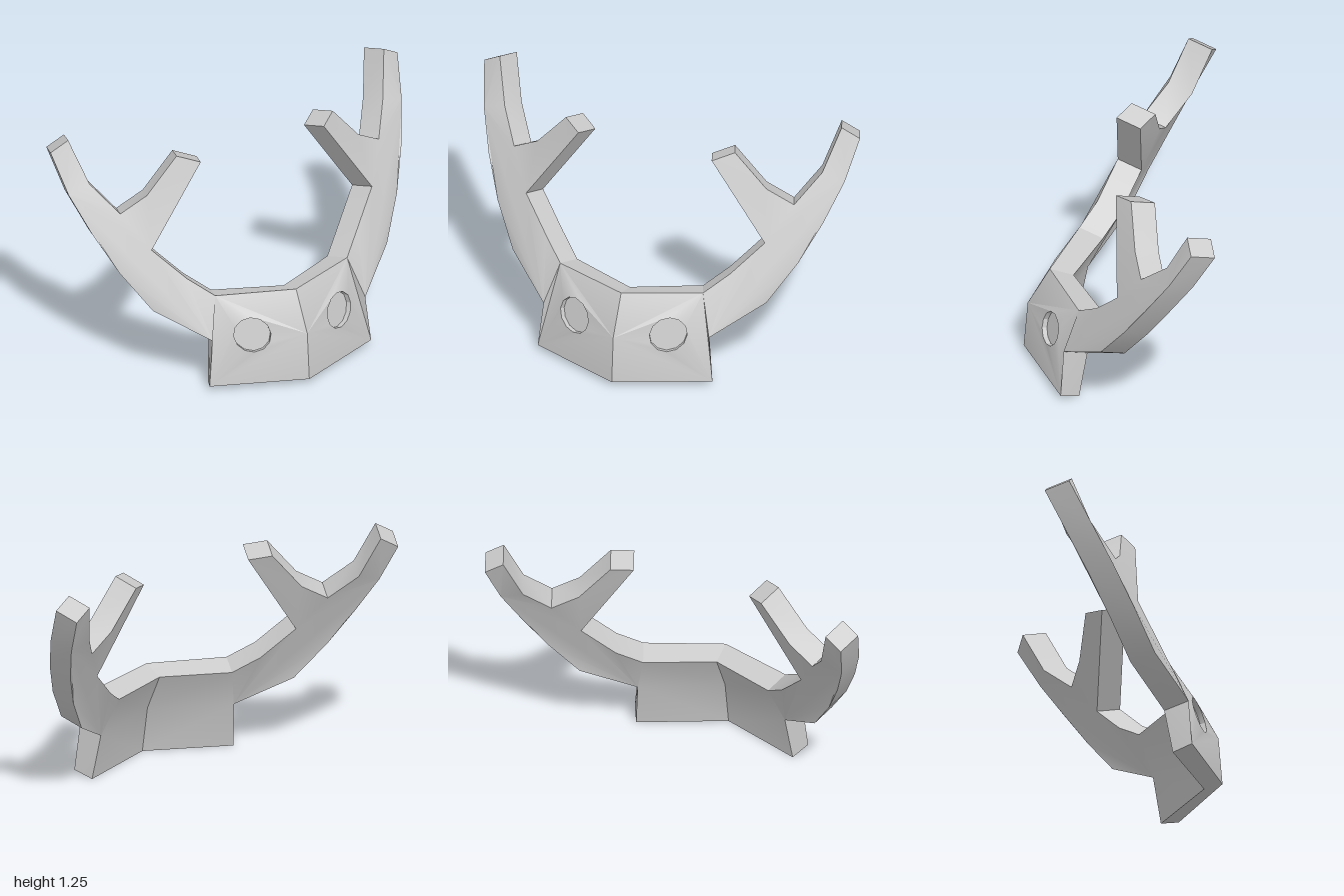
import * as THREE from 'three';
import { toCreasedNormals } from 'three/addons/utils/BufferGeometryUtils.js';

// Front outline of the left half, counter-clockwise from the bottom centre
const FRONT = [
  [0, 0.03, 0.475], [0.465, 0.03, 0.29], [0.44, 0.275, 0.275],
  // outer edge of the antler
  [0.675, 0.425, 0.09], [0.80, 0.62, -0.025], [0.89, 0.81, -0.135], [0.96, 1.0, -0.25], [1.0, 1.2, -0.36],
  // main tip, crotch, inner tine
  [0.91, 1.255, -0.34], [0.845, 1.035, -0.24], [0.745, 0.9, -0.11], [0.61, 0.98, -0.08],
  [0.45, 1.17, -0.06], [0.355, 1.145, 0.015], [0.635, 0.72, 0.01],
  // inner edge down to the brow
  [0.49, 0.565, 0.11], [0.38, 0.48, 0.2], [0, 0.48, 0.345], [0, 0.28, 0.455],
];
const BACK = FRONT.map(([x, y, z]) => [
  x ? x - 0.045 : 0, y - (y < 0.1 ? 0.03 : 0.036), z - (y < 0.1 ? 0.092 : 0.118),
]);
const NOTCH = 2, BROW = 16, TOP = 17, MID = 18;
const ARM = Array.from({ length: BROW - NOTCH + 1 }, (_, i) => NOTCH + i);

// Round eye recess: rim on the brow, floor pushed in
const RIM = Array.from({ length: 12 }, (_, i) => {
  const a = (i / 12) * Math.PI * 2;
  const dx = 0.087 * Math.cos(a), dy = 0.087 * Math.sin(a);
  return [0.25 + dx, 0.288 + dy, 0.342 - 0.4 * dx - 0.25 * dy];
});
const FLOOR = RIM.map(([x, y, z]) => [x - 0.01, y - 0.006, z - 0.024]);

// Triangulate a face in x/y, keeping the depth of each point
function face(out, contour, hole = [], flip = false) {
  const v2 = (p) => new THREE.Vector2(p[0], p[1]);
  const holes = hole.length ? [hole.map(v2)] : [];
  const all = [...contour, ...hole];
  for (const [a, b, c] of THREE.ShapeUtils.triangulateShape(contour.map(v2), holes)) {
    out.push(flip ? [all[a], all[c], all[b]] : [all[a], all[b], all[c]]);
  }
}

function quad(out, a, b, c, d) {
  out.push([a, b, c], [a, c, d]);
}

// Turn triangles into a mesh; side -1 mirrors them
function makeMesh(name, tris, side, material) {
  const pos = [];
  for (const [a, b, c] of tris) {
    for (const p of side > 0 ? [a, b, c] : [a, c, b]) pos.push(p[0] * side, p[1], p[2]);
  }
  const geo = new THREE.BufferGeometry();
  geo.setAttribute('position', new THREE.Float32BufferAttribute(pos, 3));
  const mesh = new THREE.Mesh(toCreasedNormals(geo, 0.5), material);
  mesh.name = name;
  return mesh;
}

export function createModel() {
  const group = new THREE.Group();
  group.name = 'antlerMask';
  const material = new THREE.MeshStandardMaterial({ color: 0xcccccc });
  const pick = (list, ids) => ids.map((i) => list[i]);

  // Brow plate: front with eye opening, folded back
  const brow = [];
  face(brow, pick(FRONT, [0, 1, NOTCH, BROW, TOP, MID]), RIM.slice().reverse());
  face(brow, pick(BACK, [0, 1, NOTCH, MID]), [], true);
  face(brow, pick(BACK, [MID, NOTCH, BROW, TOP]), [], true);

  // Antler: front and back faces
  const antler = [];
  face(antler, pick(FRONT, ARM));
  face(antler, pick(BACK, ARM), [], true);

  // Rim walls along the outline, leaving the centre seam open
  for (let i = 0; i < TOP; i++) {
    const isArm = i >= NOTCH && i < BROW;
    quad(isArm ? antler : brow, FRONT[i], BACK[i], BACK[i + 1], FRONT[i + 1]);
  }

  // Eye recess wall and floor
  const eye = [];
  RIM.forEach((p, i) => {
    const j = (i + 1) % RIM.length;
    quad(eye, p, RIM[j], FLOOR[j], FLOOR[i]);
  });
  face(eye, FLOOR);

  for (const side of [1, -1]) {
    const label = side > 0 ? 'left' : 'right';
    group.add(
      makeMesh(label + 'Brow', brow, side, material),
      makeMesh(label + 'Antler', antler, side, material),
      makeMesh(label + 'Eye', eye, side, material),
    );
  }
  return group;
}
